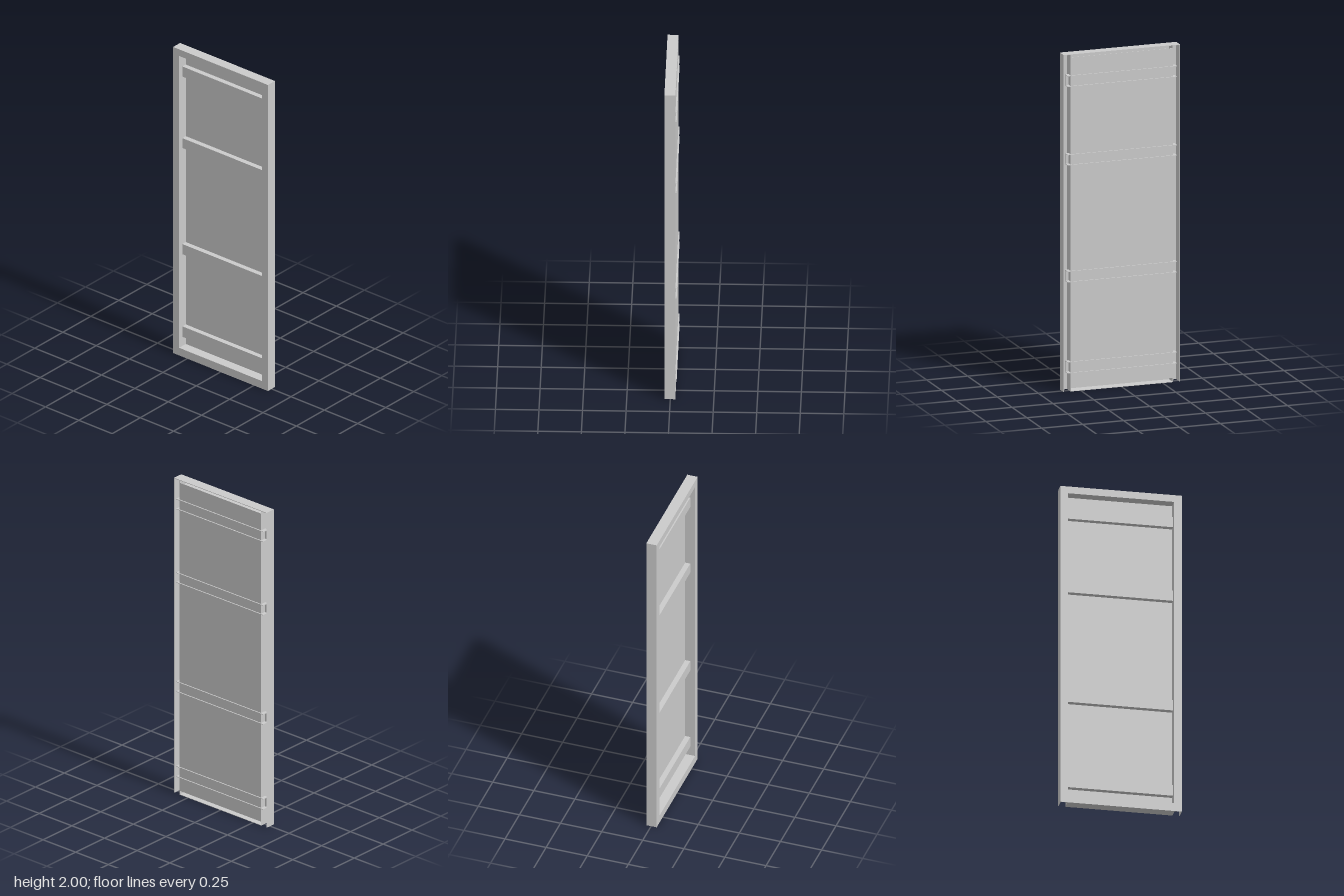
import * as THREE from 'three';

const W = 0.355, H = 2;              // outer half width and height
const IX = 0.31, IB = 0.05, IT = 1.957; // opening edges
const ZF = 0.034, ZB = -0.029;       // front and back of the frame
const T = 0.003;                     // sheet thickness

export function createModel() {
  const model = new THREE.Group();
  const mat = new THREE.MeshStandardMaterial({ color: 0xcccccc, flatShading: true });

  // box given by its extents
  function box(parent, name, x0, x1, y0, y1, z0, z1) {
    const mesh = new THREE.Mesh(new THREE.BoxGeometry(x1 - x0, y1 - y0, z1 - z0), mat);
    mesh.position.set((x0 + x1) / 2, (y0 + y1) / 2, (z0 + z1) / 2);
    mesh.name = name;
    parent.add(mesh);
  }

  // folded sheet frame, open at the back
  const frame = new THREE.Group();
  frame.name = 'frame';
  model.add(frame);

  // front face with the opening
  const face = new THREE.Shape([[-W, 0], [W, 0], [W, H], [-W, H]].map(p => new THREE.Vector2(...p)));
  face.holes.push(new THREE.Path([[-IX, IB], [-IX, IT], [IX, IT], [IX, IB]].map(p => new THREE.Vector2(...p))));
  const front = new THREE.Mesh(new THREE.ExtrudeGeometry(face, { depth: T, bevelEnabled: false }), mat);
  front.position.z = ZF - T;
  front.name = 'frameFront';
  frame.add(front);

  // outer and inner side walls; stiles stay open at the bottom
  const zw = ZF - T, zi = ZB + T;
  for (const s of [-1, 1]) {
    const wall = (name, a, b, y0, y1, z0) =>
      box(frame, name, Math.min(s * a, s * b), Math.max(s * a, s * b), y0, y1, z0, zw);
    wall('outerSideWall', W - T, W, 0, H, ZB);
    wall('innerSideWall', IX, IX + T, 0, H - T, ZB);
  }
  box(frame, 'topWall', -W + T, W - T, H - T, H, ZB, zw);
  box(frame, 'bottomWall', -IX, IX, 0, T, ZB, zw);
  box(frame, 'topInnerWall', -IX, IX, IT, IT + T, zi, zw);
  box(frame, 'bottomInnerWall', -IX, IX, IB - T, IB, zi, zw);

  // back panel
  box(model, 'panel', -IX, IX, 0.025, 1.982, ZB, zi);

  // cross battens: channels open to the back, running into the stiles
  const bx = 0.334, bz0 = -0.036, bz1 = 0.005;
  for (const [y0, y1] of [[0.11, 0.178], [0.65, 0.716], [1.344, 1.408], [1.81, 1.876]]) {
    const batten = new THREE.Group();
    batten.name = 'crossBatten';
    box(batten, 'battenFront', -bx, bx, y0, y1, bz1 - T, bz1);
    box(batten, 'battenTop', -bx, bx, y1 - T, y1, bz0, bz1 - T);
    box(batten, 'battenBottom', -bx, bx, y0, y0 + T, bz0, bz1 - T);
    model.add(batten);
  }
  return model;
}
